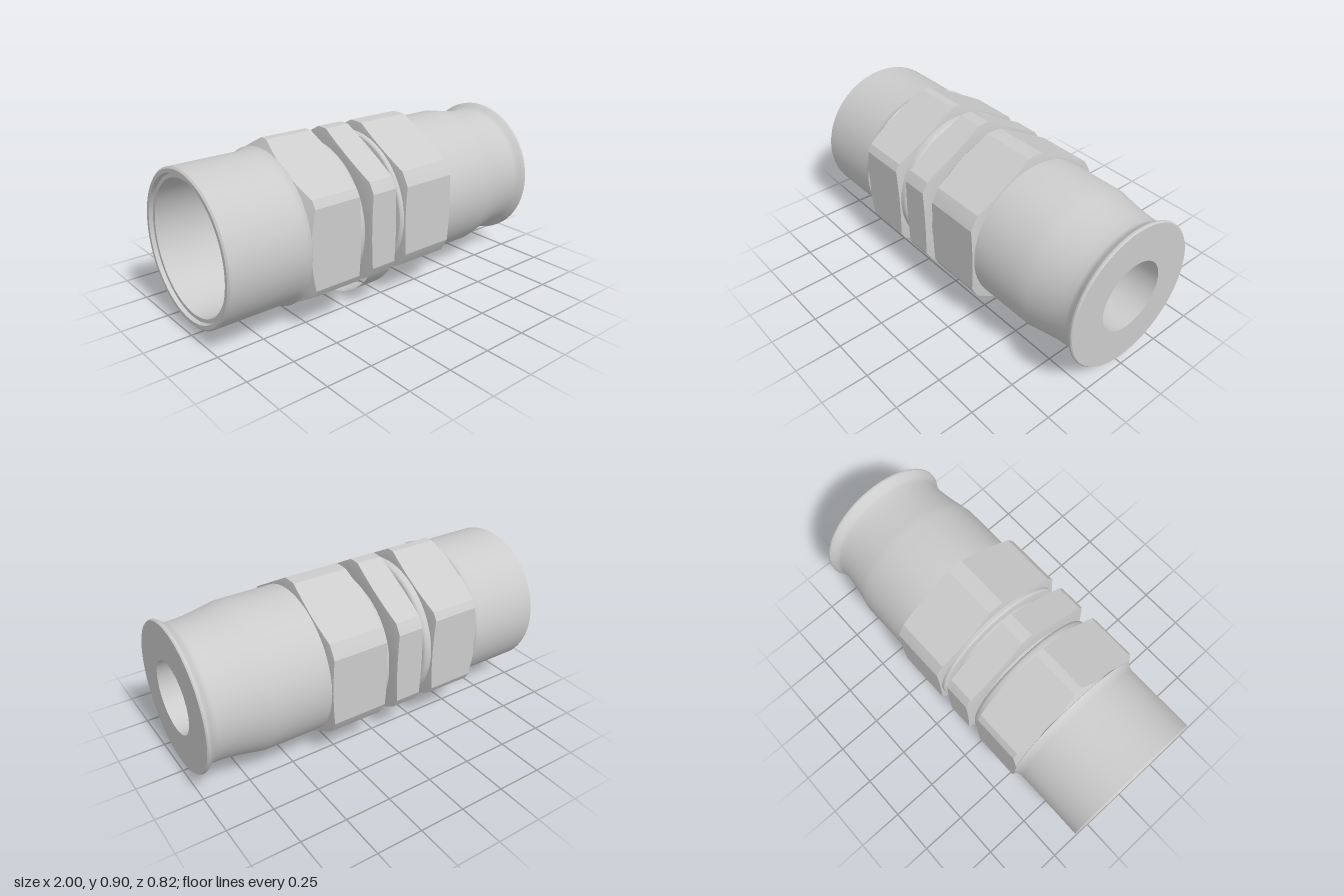
import * as THREE from 'three';
import { toCreasedNormals } from 'three/addons/utils/BufferGeometryUtils.js';

const APOTHEM = 0.403; // centre to wrench flat
const SEAT = 0.395;    // radius where the end chamfers begin
const material = new THREE.MeshStandardMaterial({ color: 0xcccccc });
const thin = new THREE.MeshStandardMaterial({ color: 0xcccccc, side: THREE.DoubleSide });

function add(parent, name, geometry, mat = material) {
  const mesh = new THREE.Mesh(geometry, mat);
  mesh.name = name;
  parent.add(mesh);
  return mesh;
}

// Turned part around the x axis; profile is a list of [x, radius]
function turned(profile) {
  const points = profile.map(([x, r]) => new THREE.Vector2(r, x));
  points.push(points[0].clone());
  const geo = new THREE.LatheGeometry(points, 96);
  geo.rotateZ(-Math.PI / 2);
  return toCreasedNormals(geo, 0.5);
}

// Angles of one flat, measured from its middle
function flatAngles(rMax, n = 16) {
  const a = Math.acos(APOTHEM / rMax);
  return Array.from({ length: n + 1 }, (_, i) => -a + (2 * a * i) / n);
}

// Hexagon trimmed to a cylinder, with a conical chamfer on each end
function hexNut(x0, x1, rMax, k0, k1, openFlat = -1) {
  const angles = [];
  for (let f = 0; f < 6; f++) {
    const mid = Math.PI / 6 + (f * Math.PI) / 3;
    const list = flatAngles(rMax);
    for (const a of list) angles.push({ a: mid + a, r: APOTHEM / Math.cos(a), f });
    angles[angles.length - 1].f = -2; // the next strip is the rounded corner
    angles.push({ a: mid + Math.PI / 6, r: rMax, f: -2 });
  }
  const n = angles.length;
  const rings = [
    () => [x0, 0.3],
    () => [x0, SEAT],
    (r) => [x0 + k0 * (r - SEAT), r],
    (r) => [x1 - k1 * (r - SEAT), r],
    () => [x1, SEAT],
    () => [x1, 0.3],
  ];
  const pos = [], index = [];
  rings.forEach((ring, i) => angles.forEach(({ a, r, f }, j) => {
    const [x, rad] = ring(r);
    pos.push(x, rad * Math.cos(a), rad * Math.sin(a));
    if (i === rings.length - 1 || (i === 2 && f === openFlat)) return;
    const p = i * n + j, q = i * n + ((j + 1) % n);
    index.push(p, q, q + n, p, q + n, p + n);
  }));
  const geo = new THREE.BufferGeometry();
  geo.setAttribute('position', new THREE.Float32BufferAttribute(pos, 3));
  geo.setIndex(index);
  return toCreasedNormals(geo, 0.35);
}

// A single flat with a drilled hole, fitting the open flat of a nut
function drilledFlat(x0, x1, rMax, k0, k1, frame, hole) {
  const angles = flatAngles(rMax);
  const edge = (a, x, k) =>
    new THREE.Vector2(APOTHEM * Math.tan(a), x + k * (APOTHEM / Math.cos(a) - SEAT));
  const shape = new THREE.Shape([
    ...angles.map((a) => edge(a, x0, k0)),
    ...angles.reverse().map((a) => edge(a, x1, -k1)),
  ]);
  const path = new THREE.Path();
  path.absarc(hole.t, hole.x, hole.r, 0, Math.PI * 2, true);
  shape.holes.push(path);
  return new THREE.ShapeGeometry(shape, 16).applyMatrix4(frame);
}

export function createModel() {
  const model = new THREE.Group();
  model.name = 'pipeFitting';
  const body = new THREE.Group();
  body.name = 'fittingBody';
  body.position.y = 0.4525;
  model.add(body);

  // Socket sleeve with a wide bore
  add(body, 'socketSleeve', turned([
    [-1, 0.385], [-0.992, 0.394], [-0.61, 0.394], [-0.59, 0.397], [-0.575, 0.403],
    [-0.565, 0.41], [-0.55, 0.394], [-0.26, 0.394], [-0.26, 0.34],
    [-0.98, 0.34], [-0.98, 0.36], [-1, 0.365],
  ]));

  // Core tube joining both halves
  add(body, 'coreTube', turned([
    [-0.3, 0.32], [-0.12, 0.32], [-0.12, 0.335], [0.1, 0.335], [0.1, 0.19], [-0.3, 0.19],
  ]));

  // Rounded collars beside the nuts
  add(body, 'socketCollar', turned([
    [-0.29, 0.394], [-0.245, 0.394], [-0.235, 0.391], [-0.228, 0.384], [-0.225, 0.375],
    [-0.225, 0.3], [-0.29, 0.3],
  ]));
  add(body, 'tailCollar', turned([
    [-0.004, 0.3], [-0.004, 0.378], [-0.001, 0.388], [0.006, 0.394], [0.04, 0.394], [0.04, 0.3],
  ]));

  // Tail sleeve, tapering to a flared lip
  add(body, 'tailSleeve', turned([
    [0.08, 0.394], [0.66, 0.394], [0.71, 0.384], [0.77, 0.373], [0.83, 0.364], [0.88, 0.359],
    [0.93, 0.358], [0.945, 0.361], [0.96, 0.371], [0.975, 0.384], [0.985, 0.39],
    [0.994, 0.39], [1, 0.385], [1, 0.19], [0.08, 0.19],
  ]));

  // Wrench nuts
  const socketNut = [-0.57, -0.268, 0.4525, 0.5, 0.2];
  add(body, 'socketNut', hexNut(...socketNut, 2));
  add(body, 'middleNut', hexNut(-0.2, -0.04, 0.448, 0.15, 0.15));
  add(body, 'tailNut', hexNut(0.022, 0.345, 0.443, 0.2, 0.2));

  // Drilled hole low on the front of the socket nut
  const angle = (5 * Math.PI) / 6;
  const normal = new THREE.Vector3(0, Math.cos(angle), Math.sin(angle));
  const tangent = new THREE.Vector3(0, -Math.sin(angle), Math.cos(angle));
  const frame = new THREE.Matrix4()
    .makeBasis(tangent, new THREE.Vector3(1, 0, 0), normal)
    .setPosition(normal.clone().multiplyScalar(APOTHEM));
  const hole = { t: 0.128, x: -0.39, r: 0.035 };
  add(body, 'drilledFlat', drilledFlat(...socketNut, frame, hole));
  const wall = new THREE.CylinderGeometry(hole.r, hole.r, 0.05, 32, 1, true);
  wall.rotateX(Math.PI / 2).translate(hole.t, hole.x, -0.025).applyMatrix4(frame);
  add(body, 'holeWall', wall, thin);

  // Thin curved band over the lower front flat of the middle nut
  const band = new THREE.CylinderGeometry(0.446, 0.446, 0.146, 24, 1, true, Math.PI / 6, Math.PI / 3);
  band.rotateZ(-Math.PI / 2).translate(-0.12, 0, 0);
  add(body, 'curvedBand', band, thin);

  return model;
}
